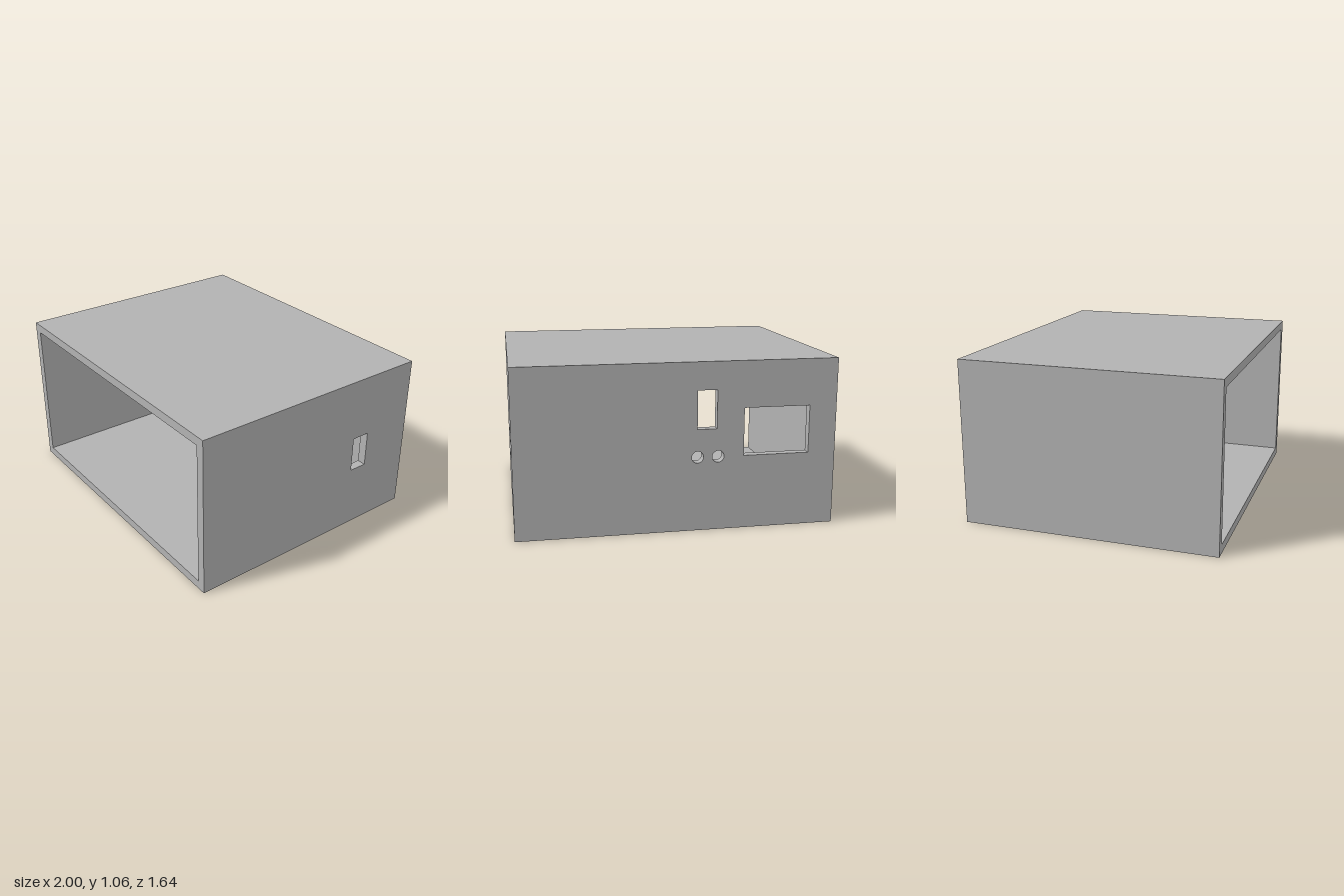
import * as THREE from 'three';

const W = 2, H = 1.06, D = 1.645, T = 0.057; // outer size and wall thickness

// Rectangle outline between two corners
function rect(Kind, x0, y0, x1, y1) {
  return new Kind([[x0, y0], [x1, y0], [x1, y1], [x0, y1]].map(([x, y]) => new THREE.Vector2(x, y)));
}

function round(x, y, r) {
  return new THREE.Path().absarc(x, y, r, 0, Math.PI * 2, true);
}

// Upright wall cut from sheet of thickness T, with through holes
function wallGeometry(halfWidth, holes) {
  const shape = rect(THREE.Shape, -halfWidth, T, halfWidth, H - T);
  shape.holes.push(...holes);
  return new THREE.ExtrudeGeometry(shape, { depth: T, bevelEnabled: false, curveSegments: 32 });
}

export function createModel() {
  const model = new THREE.Group();
  model.name = 'enclosure';
  const grey = new THREE.MeshStandardMaterial({ color: 0xb2b2b2 });
  grey.name = 'grey';

  function add(name, geometry, x, y, z) {
    const mesh = new THREE.Mesh(geometry, grey);
    mesh.name = name;
    mesh.position.set(x, y, z);
    model.add(mesh);
  }

  // Floor and roof
  add('floor', new THREE.BoxGeometry(W, T, D), 0, T / 2, 0);
  add('roof', new THREE.BoxGeometry(W, T, D), 0, H - T / 2, 0);

  // Side walls; the left one has a switch slot towards the back
  const slot = rect(THREE.Path, 0.35, 0.416, 0.472, 0.65);
  add('leftWall', wallGeometry(D / 2, [slot]).rotateY(Math.PI / 2), W / 2 - T, 0, 0);
  add('rightWall', wallGeometry(D / 2, []).rotateY(Math.PI / 2), -W / 2, 0, 0);

  // Back wall with window, socket slot and two round holes; the front stays open
  add('backWall', wallGeometry(W / 2 - T, [
    rect(THREE.Path, -0.826, 0.468, -0.41, 0.768),
    rect(THREE.Path, -0.239, 0.645, -0.117, 0.886),
    round(-0.248, 0.47, 0.037),
    round(-0.119, 0.47, 0.037),
  ]), 0, 0, -D / 2);

  return model;
}
